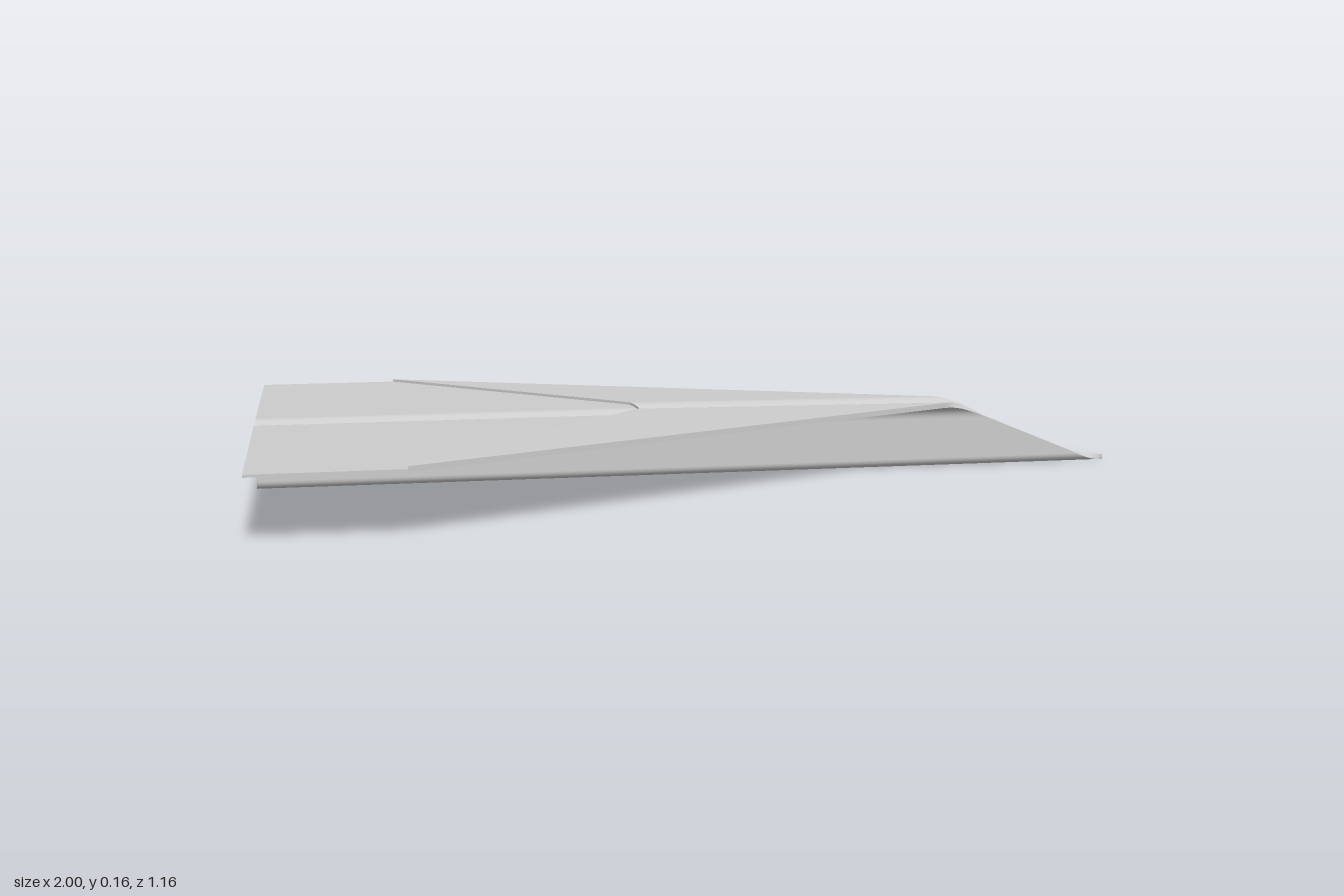
import * as THREE from 'three';
import { mergeGeometries } from 'three/addons/utils/BufferGeometryUtils.js';

const PAPER = 0.006;   // sheet thickness
const LIFT = 0.0075;   // how far the loose flap edge stands off the sheet

// Half cross-section (outer face): rounded keel fold, keel wall, bend, flat wing.
// Each station holds z, y, the inward normal and the unfolded distance s.
function halfProfile() {
  const list = [];
  const add = (z, y, a) => {
    const last = list[list.length - 1];
    const s = last ? last.s + Math.hypot(z - last.z, y - last.y) : 0;
    list.push({ z, y, nz: -Math.sin(a), ny: Math.cos(a), s });
  };
  const N = 8;
  for (let i = 0; i <= N; i++) {
    const a = (i / N) * Math.PI / 2;
    add(0.02 * Math.sin(a), 0.02 - 0.02 * Math.cos(a), a);
  }
  for (let i = N; i >= 0; i--) {
    const a = (i / N) * Math.PI / 2;
    add(0.05 - 0.03 * Math.sin(a), 0.115 + 0.03 * Math.cos(a), a);
  }
  add(0.58, 0.141, 0);
  return list;
}

const left = halfProfile();
const right = left.map(p => ({ ...p, z: -p.z, nz: -p.nz })).reverse();
const SPAN = left[left.length - 1].s;

// Straight edges of the unfolded sheet
const leadX = s => 1 - 1.68 * s / SPAN;
const flapX = s => -0.68 + (SPAN - s);

// Smooth grid; it faces (row direction) x (column direction)
function grid(rows) {
  const n = rows[0].length, index = [];
  for (let i = 0; i < rows.length - 1; i++) {
    for (let j = 0; j < n - 1; j++) {
      const a = i * n + j, b = a + n;
      index.push(a, b, a + 1, b, b + 1, a + 1);
    }
  }
  const g = new THREE.BufferGeometry();
  g.setAttribute('position', new THREE.Float32BufferAttribute(rows.flat(2), 3));
  g.setIndex(index);
  g.computeVertexNormals();
  return g;
}

// Thick folded sheet between two x limits; base(t, width) is its underside offset
function sheet(stations, backX, base, cols) {
  const surface = extra => stations.map(p => {
    const x0 = backX(p.s), x1 = leadX(p.s), row = [];
    for (let j = 0; j <= cols; j++) {
      const t = j / cols, o = base(t, x1 - x0) + extra;
      row.push([x0 + (x1 - x0) * t, p.y + p.ny * o, p.z + p.nz * o]);
    }
    return row;
  });
  const lower = surface(0), upper = surface(PAPER);
  const column = (rows, j) => rows.map(r => r[j]);
  const last = stations.length - 1;
  return mergeGeometries([
    grid(upper),
    grid([...lower].reverse()),
    grid([column(lower, cols), column(upper, cols)]),
    grid([column(upper, 0), column(lower, 0)]),
    grid([upper[last], lower[last]]),
    grid([lower[0], upper[0]]),
  ]);
}

export function createModel() {
  const paper = new THREE.MeshStandardMaterial({ color: 0xcccccc });
  paper.name = 'paper grey';
  const plane = new THREE.Group();
  plane.name = 'paperPlane';
  const add = (name, geometry) => {
    const mesh = new THREE.Mesh(geometry, paper);
    mesh.name = name;
    plane.add(mesh);
  };

  // Main sheet: both wings and the keel in one fold
  add('wingsAndKeel', sheet([...right.slice(0, -1), ...left], () => -1, () => 0, 1));

  // Folded-over flaps, hinged on the leading edge and slightly open behind
  const flapBase = (t, width) => PAPER + LIFT * (1 - t) * Math.min(1, width / 0.77);
  add('frontFlap', sheet(left, flapX, flapBase, 4));
  add('backFlap', sheet(right, flapX, flapBase, 4));
  return plane;
}
